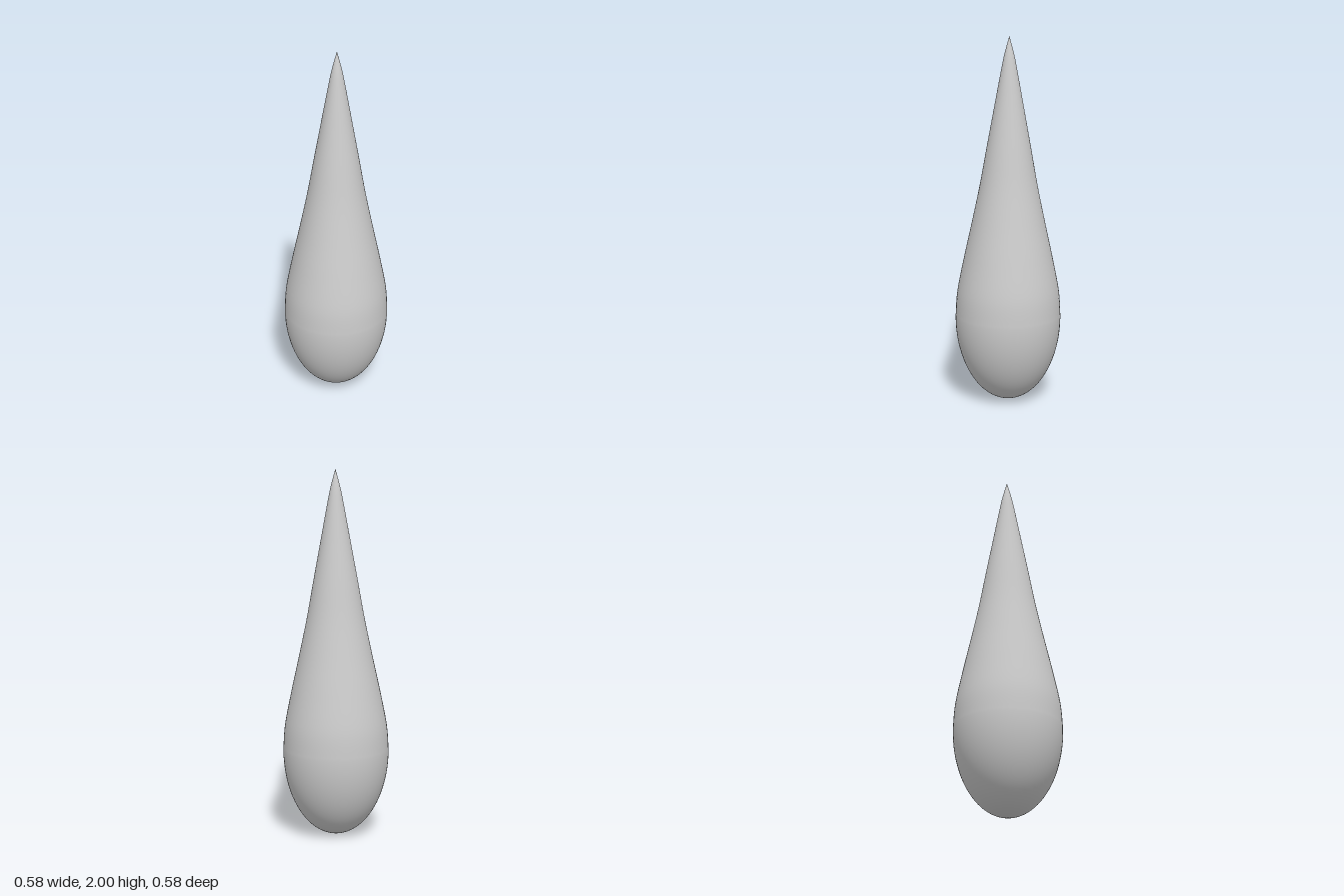
import * as THREE from 'three';

export function createModel() {
  const group = new THREE.Group();
  const material = new THREE.MeshStandardMaterial({ color: 0xcccccc });

  // Rounded base: lower half of an ellipse
  const radius = 0.29, baseHeight = 0.47;
  const profile = [];
  for (let i = 0; i < 24; i++) {
    const a = (i / 24) * Math.PI / 2;
    profile.push(new THREE.Vector2(radius * Math.sin(a), baseHeight * (1 - Math.cos(a))));
  }

  // Long taper from the widest ring up to the point
  const taper = new THREE.SplineCurve([
    [radius, baseHeight], [0.28, 0.61], [0.243, 0.8], [0.199, 1.0], [0.157, 1.2],
    [0.121, 1.4], [0.084, 1.6], [0.047, 1.8], [0.027, 1.9], [0, 2],
  ].map(([x, y]) => new THREE.Vector2(x, y)));
  profile.push(...taper.getPoints(54));
  profile[profile.length - 1].x = 0;

  const geometry = new THREE.LatheGeometry(profile, 64);

  // Very slight lean of the tip
  const pos = geometry.attributes.position;
  for (let i = 0; i < pos.count; i++) {
    const t = Math.max(0, (pos.getY(i) - baseHeight) / (2 - baseHeight));
    pos.setX(i, pos.getX(i) + 0.007 * t);
    pos.setZ(i, pos.getZ(i) - 0.004 * t);
  }

  const drop = new THREE.Mesh(geometry, material);
  drop.name = 'teardropBody';
  group.add(drop);
  return group;
}
